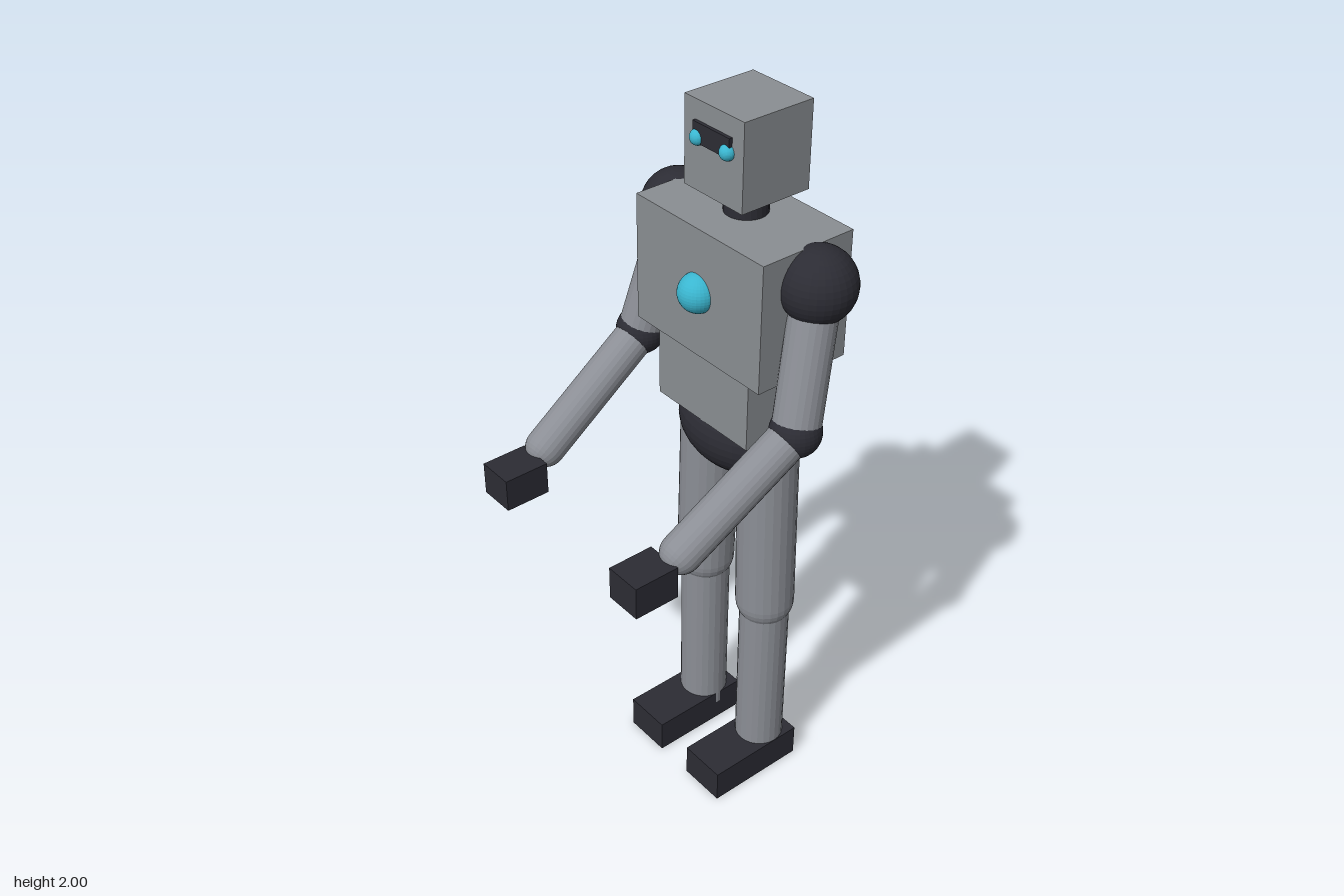
import * as THREE from 'three';

const material = (name, color) => new THREE.MeshStandardMaterial({ name, color, flatShading: true });

export function createModel() {
  const shell = material('shell grey', 0x8a8e92);
  const limb = material('limb grey', 0x8b8e95);
  const dark = material('dark joint', 0x2c2c34);
  const glow = material('cyan light', 0x3ab6d0);

  const robot = new THREE.Group();
  robot.name = 'robot';
  const V = (x, y, z) => new THREE.Vector3(x, y, z);

  function add(name, geometry, mat, position, parent = robot) {
    const mesh = new THREE.Mesh(geometry, mat);
    mesh.name = name;
    mesh.position.copy(position);
    parent.add(mesh);
    return mesh;
  }
  const box = (name, w, h, d, mat, pos, parent) =>
    add(name, new THREE.BoxGeometry(w, h, d), mat, pos, parent);
  const ball = (name, r, mat, pos, parent) =>
    add(name, new THREE.SphereGeometry(r, 32, 20), mat, pos, parent);

  // Rod between two points, with rounded or flat ends
  function rod(name, a, b, r, round, parent) {
    const dir = b.clone().sub(a);
    const geometry = round
      ? new THREE.CapsuleGeometry(r, dir.length(), 8, 24)
      : new THREE.CylinderGeometry(r, r, dir.length(), 24);
    const mesh = add(name, geometry, limb, a.clone().add(b).multiplyScalar(0.5), parent);
    mesh.quaternion.setFromUnitVectors(V(0, 1, 0), dir.normalize());
  }

  // Head and neck
  box('head', 0.204, 0.222, 0.204, shell, V(0, 1.889, -0.222));
  box('visor', 0.126, 0.05, 0.009, dark, V(0, 1.926, -0.1155));
  add('neck', new THREE.CylinderGeometry(0.055, 0.055, 0.1, 24), dark, V(0, 1.747, -0.224));

  // Torso
  box('chest', 0.454, 0.34, 0.275, shell, V(0, 1.547, -0.2135));
  ball('chestLight', 0.051, glow, V(0, 1.548, -0.08));
  box('abdomen', 0.336, 0.206, 0.24, shell, V(0, 1.276, -0.217));
  ball('pelvis', 1, dark, V(0, 1.122, -0.224)).scale.set(0.182, 0.13, 0.136);

  // Mirrored eyes, arms and legs
  for (const [side, s] of [['left', 1], ['right', -1]]) {
    ball(side + 'Eye', 0.02, glow, V(s * 0.051, 1.913, -0.117));

    const arm = new THREE.Group();
    arm.name = side + 'Arm';
    robot.add(arm);
    const shoulder = V(s * 0.25, 1.629, -0.225);
    const elbow = V(s * 0.295, 1.284, -0.137);
    const wrist = V(s * 0.273, 1.07, 0.194);
    ball('shoulder', 0.096, dark, shoulder, arm);
    rod('upperArm', shoulder, elbow, 0.06, false, arm);
    ball('elbow', 0.065, dark, elbow, arm);
    rod('forearm', elbow, wrist, 0.052, true, arm);
    box('hand', 0.1, 0.09, 0.124, dark, V(s * 0.261, 1.026, 0.296), arm);

    const leg = new THREE.Group();
    leg.name = side + 'Leg';
    robot.add(leg);
    const hip = V(s * 0.112, 1.088, -0.224);
    const knee = V(s * 0.124, 0.602, -0.224);
    rod('thigh', hip, knee, 0.08, true, leg);
    rod('shin', knee, V(s * 0.124, 0.06, -0.224), 0.068, false, leg);
    box('foot', 0.136, 0.097, 0.293, dark, V(s * 0.125, 0.0485, -0.156), leg);
  }
  return robot;
}
